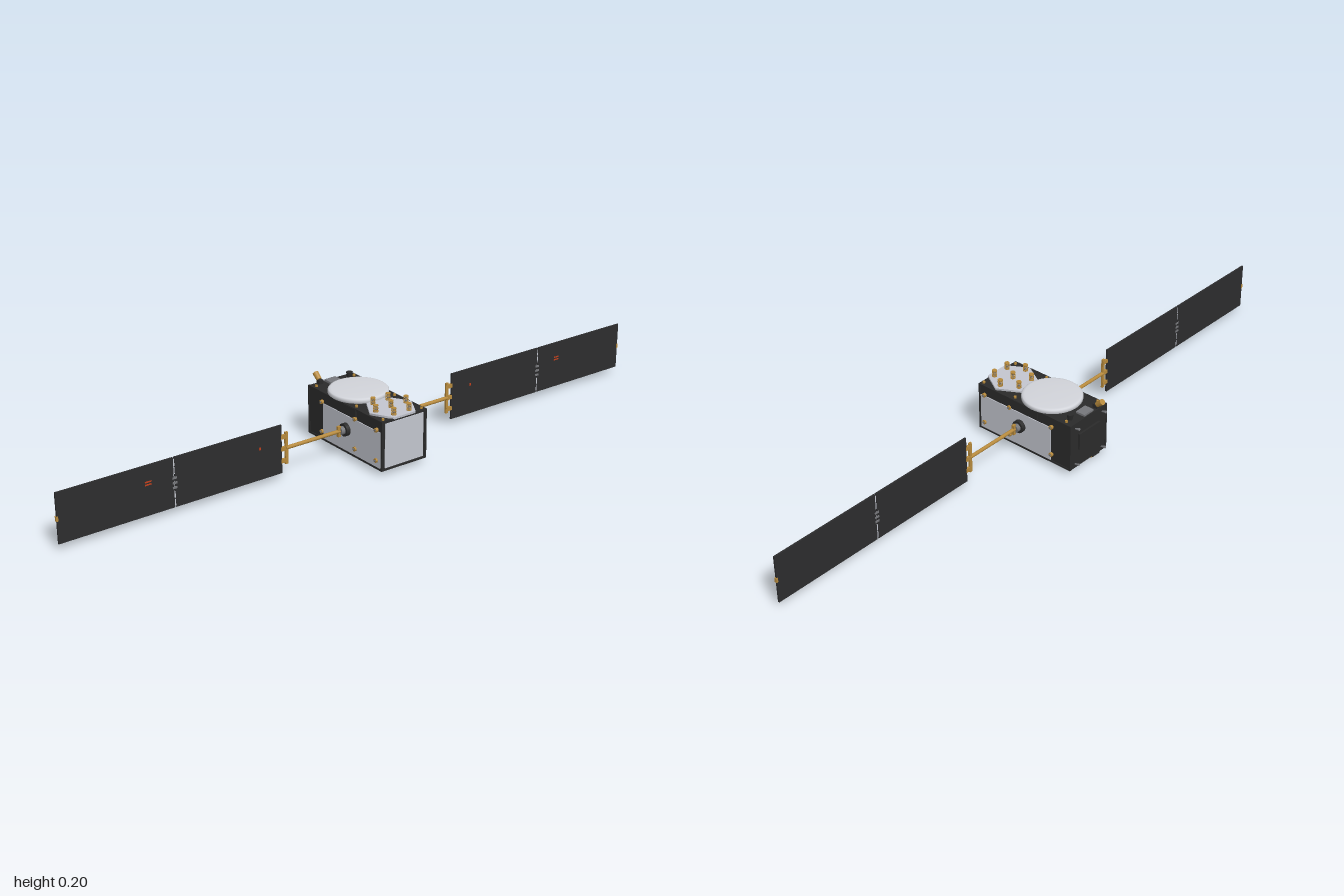
import * as THREE from 'three';

const mat = (name, color, side = THREE.FrontSide) => {
  const m = new THREE.MeshStandardMaterial({ color, side });
  m.name = name;
  return m;
};

export function createModel() {
  const black = mat('blackBlanket', 0x2b2b2b);
  const cell = mat('solarCell', 0x2d2d2e);
  const silver = mat('silverRadiator', 0xc3c6cf);
  const white = mat('antennaWhite', 0xd2d4da);
  const gold = mat('gold', 0xb78a3c);
  const steel = mat('steel', 0x77787c);
  const red = mat('redMark', 0xc2401c);

  const model = new THREE.Group();
  model.name = 'satellite';

  const add = (parent, name, geo, material, x, y, z) => {
    const m = new THREE.Mesh(geo, material);
    m.name = name;
    m.position.set(x, y, z);
    parent.add(m);
    return m;
  };
  const box = (p, name, material, w, h, d, x, y, z) =>
    add(p, name, new THREE.BoxGeometry(w, h, d), material, x, y, z);
  const cyl = (p, name, material, r0, r1, h, x, y, z, n = 20) =>
    add(p, name, new THREE.CylinderGeometry(r0, r1, h, n), material, x, y, z);
  const cylZ = (...a) => {
    const m = cyl(...a);
    m.rotation.x = Math.PI / 2;
    return m;
  };

  // Body with slightly proud edge rails
  const body = new THREE.Group();
  body.name = 'body';
  model.add(body);
  box(body, 'bodyCore', black, 0.342, 0.148, 0.156, 0.007, 0.09, 0);
  for (const sz of [1, -1]) {
    for (const y of [0.018, 0.162]) box(body, 'edgeRail', black, 0.344, 0.006, 0.006, 0.008, y, sz * 0.077);
    for (const x of [-0.162, 0.177]) box(body, 'cornerPost', black, 0.006, 0.148, 0.006, x, 0.09, sz * 0.077);
  }
  for (const y of [0.018, 0.162]) box(body, 'endRail', black, 0.006, 0.006, 0.156, 0.177, y, 0);

  // Radiator panels on the sides, the end and the underside
  box(body, 'endRadiator', silver, 0.003, 0.134, 0.136, 0.1785, 0.09, 0);
  box(body, 'lowerRadiator', silver, 0.13, 0.003, 0.136, 0.108, 0.0155, 0);
  for (const sz of [1, -1]) {
    box(body, 'sideRadiator', silver, 0.264, 0.109, 0.004, 0.04, 0.0765, sz * 0.0785);
    box(body, 'upperFlap', black, 0.106, 0.029, 0.003, 0.01, 0.149, sz * 0.0795);
    for (const x of [-0.096, 0.06, 0.157]) for (const y of [0.043, 0.135]) {
      cylZ(body, 'mountPad', gold, 0.0065, 0.0065, 0.008, x, y, sz * 0.082, 8);
      cylZ(body, 'mountBolt', steel, 0.003, 0.003, 0.004, x, y, sz * 0.0865, 8);
    }
  }

  // Large round antenna with softened rim
  const rim = [[0, 0], [0.084, 0], [0.088, 0.003], [0.088, 0.011], [0.085, 0.014], [0.078, 0.016], [0.04, 0.0175], [0, 0.018]];
  add(body, 'roundAntenna', new THREE.LatheGeometry(rim.map(p => new THREE.Vector2(...p)), 56), white, -0.03, 0.165, 0);

  // Hexagonal antenna plate with seven helix antennas
  cyl(body, 'hexPlate', silver, 0.074, 0.074, 0.006, 0.119, 0.167, 0, 6);
  const helixPath = new THREE.CatmullRomCurve3(Array.from({ length: 33 }, (_, i) => {
    const a = i / 8 * Math.PI * 2;
    return new THREE.Vector3(Math.cos(a) * 0.0065, i / 32 * 0.018, Math.sin(a) * 0.0065);
  }));
  const helixGeo = new THREE.TubeGeometry(helixPath, 64, 0.0011, 5);
  const helix = (x, z) => {
    const g = new THREE.Group();
    g.name = 'helixAntenna';
    g.position.set(x, 0.17, z);
    body.add(g);
    add(g, 'helixWire', helixGeo, gold, 0, 0.001, 0);
    cyl(g, 'helixCore', steel, 0.0035, 0.0035, 0.018, 0, 0.009, 0, 10);
    cyl(g, 'helixCap', gold, 0.0075, 0.0075, 0.002, 0, 0.0195, 0, 14);
    cyl(g, 'helixFoot', gold, 0.0075, 0.0075, 0.002, 0, 0.001, 0, 14);
  };
  helix(0.119, 0);
  for (let i = 0; i < 6; i++) helix(0.119 + 0.054 * Math.sin(i * Math.PI / 3), 0.054 * Math.cos(i * Math.PI / 3));

  // Top equipment near the -x end
  const horn = cyl(body, 'tiltedHorn', gold, 0.009, 0.008, 0.024, -0.167, 0.183, 0.045);
  horn.rotation.z = 0.85;
  box(body, 'hornBracket', black, 0.016, 0.012, 0.014, -0.154, 0.17, 0.045);
  cyl(body, 'sensorHead', black, 0.01, 0.007, 0.018, -0.138, 0.173, -0.05, 12);
  box(body, 'sensorBox', steel, 0.03, 0.006, 0.04, -0.145, 0.167, 0.005);
  for (const z of [-0.068, 0.068]) for (const x of [-0.14, 0.05, 0.17])
    cyl(body, 'topBolt', gold, 0.004, 0.004, 0.006, x, 0.167, z, 8);

  // -x end: cover plate and small thrusters
  box(body, 'endPlate', black, 0.006, 0.052, 0.09, -0.167, 0.098, 0);
  for (const y of [0.031, 0.15]) for (const z of [-0.058, 0.058]) {
    const t = cyl(body, 'thruster', steel, 0.004, 0.002, 0.016, -0.171, y, z, 10);
    t.rotation.z = Math.PI / 2 - 0.25;
  }

  // Underside fittings
  cyl(body, 'lowerNozzle', gold, 0.0075, 0.0075, 0.016, -0.147, 0.008, 0.035);
  box(body, 'nozzleBase', black, 0.03, 0.004, 0.03, -0.15, 0.014, 0.035);
  cyl(body, 'lowerSensor', silver, 0.009, 0.009, 0.006, 0.06, 0.012, 0.02);

  // Solar wings on the +z and -z sides
  for (const sz of [1, -1]) {
    const wing = new THREE.Group();
    wing.name = sz > 0 ? 'frontWing' : 'backWing';
    wing.position.set(0.02, 0.09, 0);
    model.add(wing);

    cylZ(wing, 'driveCollar', black, 0.019, 0.019, 0.014, 0, 0, sz * 0.086, 24);
    cylZ(wing, 'driveHub', steel, 0.012, 0.012, 0.014, 0, 0, sz * 0.098);
    box(wing, 'driveClamp', gold, 0.008, 0.032, 0.01, 0, 0, sz * 0.108);
    cylZ(wing, 'boom', gold, 0.0055, 0.0055, 0.19, 0, 0, sz * 0.195, 12);
    box(wing, 'yoke', gold, 0.006, 0.096, 0.009, 0, 0, sz * 0.289);
    for (const y of [-0.036, 0, 0.036]) box(wing, 'yokeHinge', gold, 0.007, 0.012, 0.022, 0, y, sz * 0.297);

    for (const z of [0.477, 0.825]) {
      box(wing, 'solarPanel', cell, 0.005, 0.145, z < 0.6 ? 0.343 : 0.345, 0, 0.001, sz * z);
    }
    for (const y of [-0.058, -0.035, 0.035, 0.058])
      box(wing, 'panelHinge', silver, 0.004, 0.019, 0.008, 0, y, sz * 0.65);
    for (const y of [-0.014, 0, 0.014]) box(wing, 'hingeClip', steel, 0.008, 0.006, 0.014, 0, y, sz * 0.65);
    box(wing, 'tipLatch', gold, 0.007, 0.014, 0.006, 0, 0, sz * 0.997);

    // Small painted marks
    for (const y of [0.018, 0.026]) box(wing, 'panelMark', red, 0.001, 0.004, 0.02, 0.0028, y, sz * 0.73);
    box(wing, 'smallPanelMark', red, 0.001, 0.008, 0.005, 0.0028, 0.022, sz * 0.378);
  }
  return model;
}
